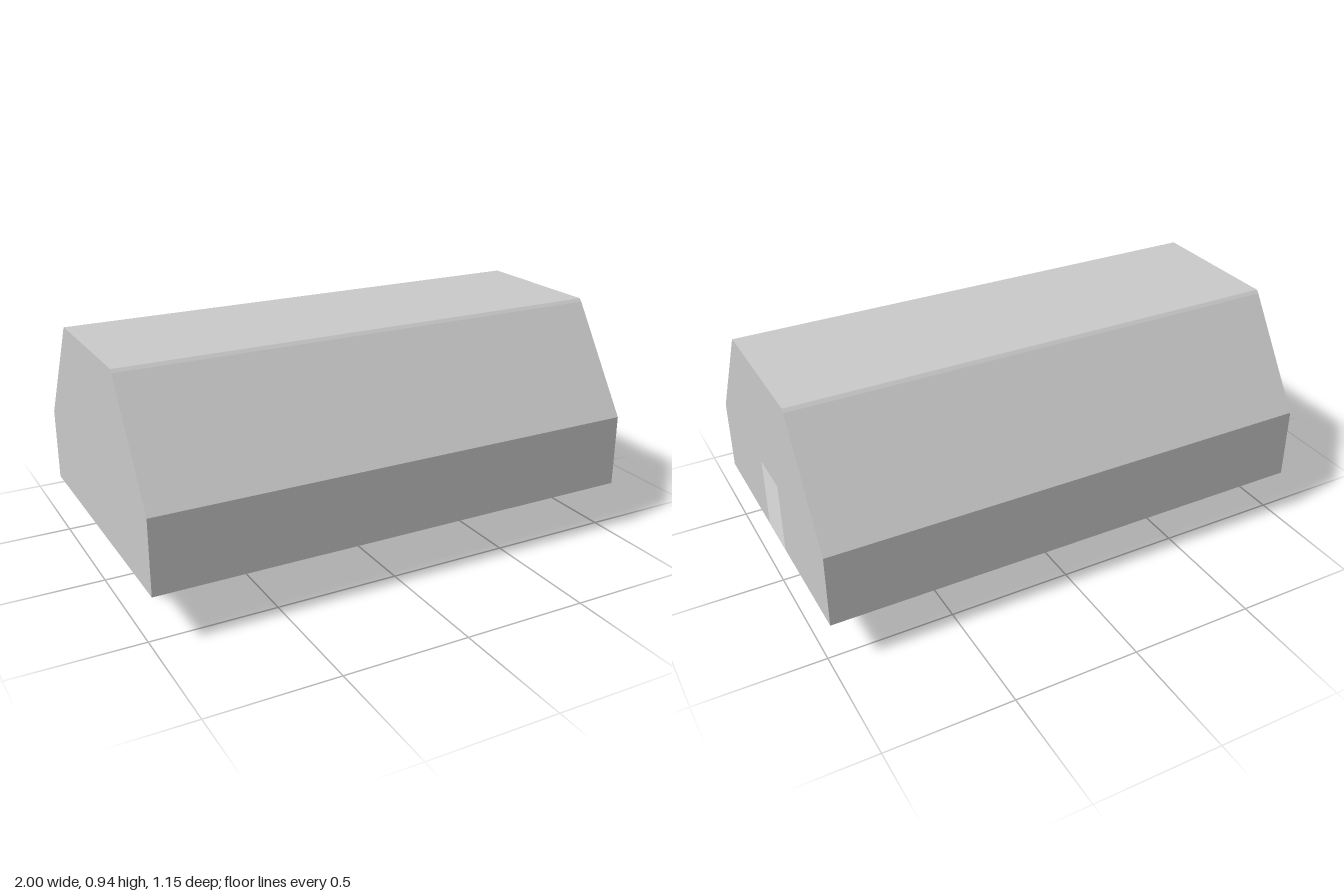
import * as THREE from 'three';

const grey = new THREE.MeshStandardMaterial({ color: 0xcccccc, side: THREE.DoubleSide, flatShading: true });
grey.name = 'plain grey';

// Flat-sided skin between two rings of [x, y, z] points
function loft(a, b) {
  const positions = [];
  for (let i = 0; i < a.length; i++) {
    const j = (i + 1) % a.length;
    const bottomIsPoint = a[i].every((v, k) => v === a[j][k]);
    if (!bottomIsPoint) positions.push(...a[i], ...a[j], ...b[j]);
    positions.push(...a[i], ...b[j], ...b[i]);
  }
  const geometry = new THREE.BufferGeometry();
  geometry.setAttribute('position', new THREE.Float32BufferAttribute(positions, 3));
  geometry.computeVertexNormals();
  return geometry;
}

export function createModel() {
  const group = new THREE.Group();
  const add = (name, geometry) => {
    const mesh = new THREE.Mesh(geometry, grey);
    mesh.name = name;
    group.add(mesh);
    return mesh;
  };

  // Cross-section of the hall, as [across, y]
  const half = [[0.575, 0.215], [0.575, 0.507], [0.298, 0.925], [0.287, 0.937]];
  const profile = [...half, ...half.map(([u, y]) => [-u, y]).reverse()];

  // Hollow shell: floor, side walls and roof
  const ring = (x) => profile.map(([u, y]) => [x, y, -u]);
  add('shell', loft(ring(-1), ring(1)));

  // End walls, the one at +x with a doorway
  for (const side of [1, -1]) {
    const shape = new THREE.Shape(profile.map(([u, y]) => new THREE.Vector2(u, y)));
    if (side === 1) {
      shape.holes.push(new THREE.Path([[-0.095, 0.218], [-0.095, 0.505], [0.095, 0.505], [0.095, 0.218]]
        .map(([u, y]) => new THREE.Vector2(u, y))));
    }
    const wall = add(side === 1 ? 'doorEndWall' : 'plainEndWall', new THREE.ShapeGeometry(shape));
    wall.rotation.y = side * Math.PI / 2;
    wall.position.x = side;
  }

  // Tapered chute below the floor: eight-sided at the top, square and open at the bottom
  const top = [
    [-0.43, 0.285], [-0.43, -0.095], [-0.57, -0.28], [-0.85, -0.28],
    [-0.98, -0.095], [-0.98, 0.285], [-0.85, 0.56], [-0.57, 0.56],
  ].map(([x, z]) => [x, 0.215, z]);
  const corners = [[-0.57, 0.21], [-0.57, -0.06], [-0.85, -0.06], [-0.85, 0.21]];
  const order = [0, 1, 1, 2, 2, 3, 3, 0];
  const bottom = order.map((k) => [corners[k][0], 0, corners[k][1]]);
  add('chute', loft(bottom, top));

  return group;
}
